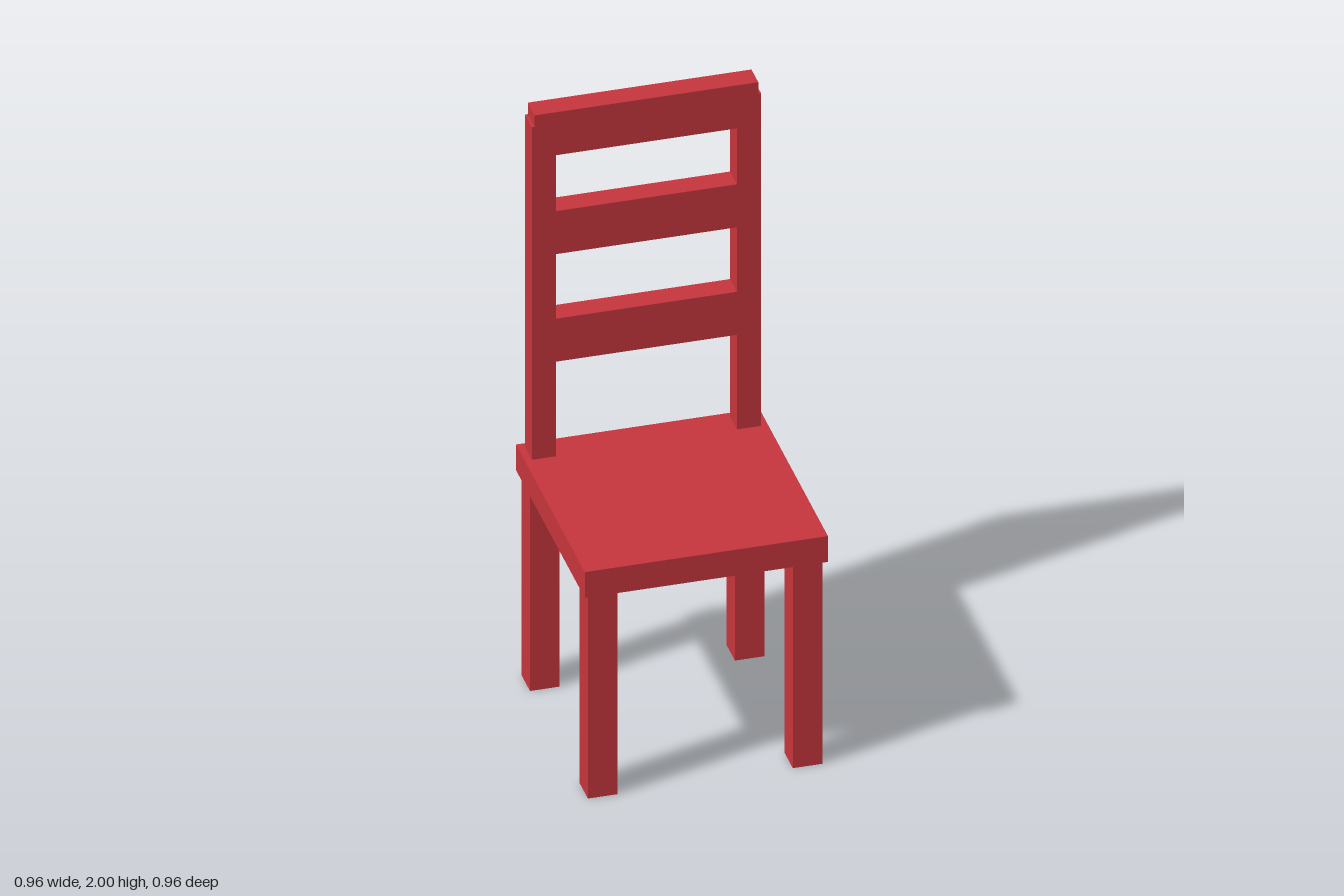
import * as THREE from 'three';

export function createModel() {
  const model = new THREE.Group();
  model.name = 'chair';
  const red = new THREE.MeshStandardMaterial({ color: 0xc8363d });
  red.name = 'red paint';

  // The chair is turned 20 degrees about the vertical axis
  const chair = new THREE.Group();
  chair.name = 'turnedChair';
  chair.rotation.y = THREE.MathUtils.degToRad(20);
  model.add(chair);

  // Box standing between two heights
  function box(name, width, depth, bottom, top, x, z) {
    const mesh = new THREE.Mesh(new THREE.BoxGeometry(width, top - bottom, depth), red);
    mesh.name = name;
    mesh.position.set(x, (bottom + top) / 2, z);
    chair.add(mesh);
  }

  const inset = 0.316;
  box('seat', 0.75, 0.75, 0.71, 0.8, 0, 0);

  for (const [side, sx] of [['left', 1], ['right', -1]]) {
    // Legs
    box(side + 'FrontLeg', 0.091, 0.091, 0, 0.71, sx * inset, inset);
    box(side + 'BackLeg', 0.091, 0.091, 0, 0.71, sx * inset, -inset);
    // Backrest post
    box(side + 'BackPost', 0.075, 0.075, 0.8, 1.96, sx * inset, -inset);
  }

  // Backrest rails, the top one standing proud of the posts
  [['lowerRail', 1.13, 1.28], ['middleRail', 1.505, 1.655], ['topRail', 1.85, 2]]
    .forEach(([name, bottom, top]) => box(name, 0.69, 0.075, bottom, top, 0, -inset));

  return model;
}
